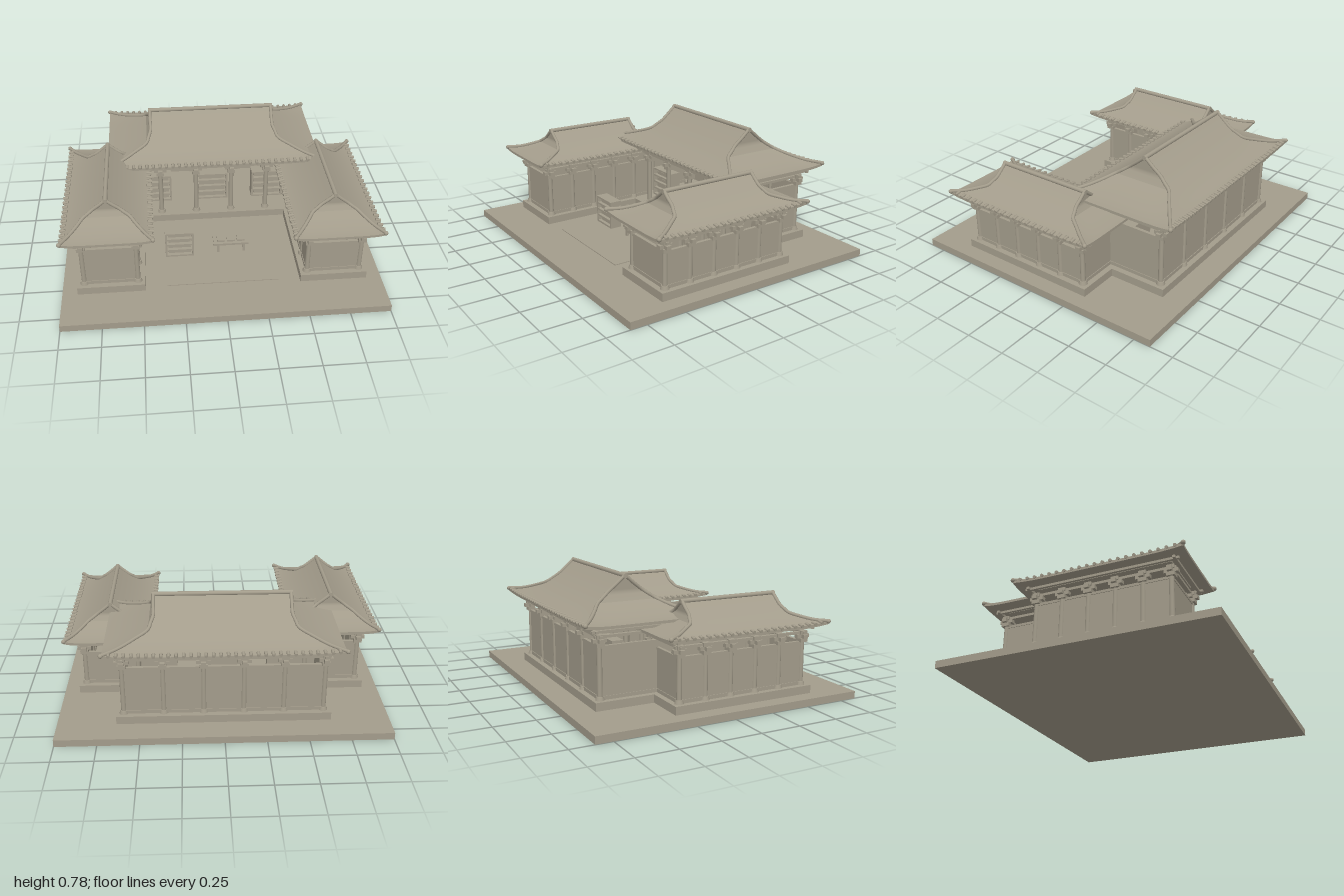
import * as THREE from 'three';
import { mergeGeometries, toCreasedNormals } from 'three/addons/utils/BufferGeometryUtils.js';

const stone = new THREE.MeshStandardMaterial({ color: 0xa39c8b });
stone.name = 'warm stone grey';

function add(parent, name, geometry, x = 0, y = 0, z = 0) {
  const mesh = new THREE.Mesh(geometry, stone);
  mesh.name = name;
  mesh.position.set(x, y, z);
  parent.add(mesh);
  return mesh;
}
// Box given by its centre in x and z, and its bottom and top heights
const block = (parent, name, w, d, x, z, y0, y1) =>
  add(parent, name, new THREE.BoxGeometry(w, y1 - y0, d), x, (y0 + y1) / 2, z);

function group(parent, name, x = 0, y = 0, z = 0) {
  const g = new THREE.Group();
  g.name = name;
  g.position.set(x, y, z);
  parent.add(g);
  return g;
}

// Hip-and-gable roof: ridge along x, made of rectangles that widen towards the eaves
function makeRoof(parent, { ridge, eaveX, eaveZ, yEave, yRidge, tiles }) {
  const roof = group(parent, 'roof');
  const flare = t => (t < 0.3 ? 0 : t < 0.5 ? 0.5 * (t - 0.3) : 0.1 + 1.8 * (t - 0.5));
  const ring = t => ({
    w: ridge + (eaveX - ridge) * flare(t), d: eaveZ * t,
    y: yEave + (yRidge - yEave) * (1 - t) ** 1.5, lift: 0.012 * t ** 4,
  });
  const rows = [];
  for (let i = 0; i <= 20; i++) rows.push(ring(i / 20));
  const eave = ring(1);
  rows.push({ ...eave, y: yEave - 0.016 });                                  // eave edge
  rows.push({ w: eaveX - 0.1, d: eaveZ - 0.1, y: yEave - 0.002, lift: 0 });  // soffit
  rows.push({ w: 0, d: 0, y: yEave - 0.002, lift: 0 });

  const faces = [];
  for (let k = 0; k < 4; k++) {
    const g = new THREE.PlaneGeometry(1, 1, 16, rows.length - 1);
    const pos = g.attributes.position;
    for (let i = 0; i < pos.count; i++) {
      const r = rows[Math.floor(i / 17)];
      const u = (i % 17) / 8 - 1;
      const s = k < 2 ? 1 : -1;
      const y = r.y + r.lift * u ** 6;
      if (k % 2 === 0) pos.setXYZ(i, s * u * r.w, y, s * r.d);
      else pos.setXYZ(i, s * r.w, y, -s * u * r.d);
    }
    faces.push(g);
  }
  add(roof, 'roofShell', toCreasedNormals(mergeGeometries(faces), 0.5));

  // Ridge bar and the bars running down gables and hips
  const ridgeBar = add(roof, 'ridgeBar', new THREE.CylinderGeometry(0.014, 0.014, ridge * 2 + 0.02, 10), 0, yRidge, 0);
  ridgeBar.rotation.z = Math.PI / 2;
  for (const sx of [-1, 1]) for (const sz of [-1, 1]) {
    const points = [0, 0.15, 0.3, 0.4, 0.5, 0.65, 0.82, 1].map(t => {
      const r = ring(t);
      return new THREE.Vector3(sx * r.w, r.y + r.lift + 0.004, sz * r.d);
    });
    add(roof, 'hipBar', new THREE.TubeGeometry(new THREE.CatmullRomCurve3(points), 28, 0.011, 8));
    add(roof, 'hipEnd', new THREE.SphereGeometry(0.014, 10, 8), sx * eaveX, yEave + 0.014, sz * eaveZ);
  }

  // Round tile ends along both long eaves
  const ends = [];
  for (const s of [-1, 1]) for (let i = 1; i < tiles; i++) {
    const u = (2 * i) / tiles - 1;
    const g = new THREE.CylinderGeometry(0.01, 0.01, 0.034, 8).rotateX(Math.PI / 2 + s * 0.15);
    ends.push(g.translate(u * eaveX, yEave + 0.004 + 0.012 * u ** 6, s * (eaveZ - 0.011)));
  }
  add(roof, 'eaveTiles', mergeGeometries(ends));
}

// Round post on a stone foot, carrying stacked bracket blocks
function makeColumn(parent, x, z, y0, y1) {
  const c = group(parent, 'column', x, 0, z);
  const h = y1 - y0;
  add(c, 'post', new THREE.CylinderGeometry(0.015, 0.016, h, 12), 0, y0 + h / 2, 0);
  add(c, 'foot', new THREE.CylinderGeometry(0.021, 0.027, 0.022, 12), 0, y0 + 0.011, 0);
  block(c, 'bracketBase', 0.05, 0.05, 0, 0, y1 - 0.004, y1 + 0.02);
  block(c, 'bracketArmAlong', 0.085, 0.03, 0, 0, y1 + 0.02, y1 + 0.042);
  block(c, 'bracketArmAcross', 0.03, 0.085, 0, 0, y1 + 0.02, y1 + 0.042);
  block(c, 'bracketTop', 0.045, 0.045, 0, 0, y1 + 0.042, y1 + 0.065);
}

// Rectangular ring of beams
function beamRing(parent, name, hx, hz, over, thick, y0, y1) {
  for (const s of [-1, 1]) {
    block(parent, name, 2 * (hx + over), thick, 0, s * hz, y0, y1);
    block(parent, name, thick, 2 * (hz + over), s * hx, 0, y0, y1);
  }
}

// Framed wall panel between two points, either along x or along z
function wallPanel(parent, x0, z0, x1, z1, y0, y1) {
  const alongX = Math.abs(x1 - x0) > Math.abs(z1 - z0);
  const len = Math.abs(alongX ? x1 - x0 : z1 - z0);
  const x = (x0 + x1) / 2, z = (z0 + z1) / 2;
  const slab = (name, l, t, a, b) => block(parent, name, alongX ? l : t, alongX ? t : l, x, z, a, b);
  slab('wallPanel', len, 0.012, y0, y1);
  slab('sillRail', len, 0.02, y0, y0 + 0.022);
  slab('headRail', len, 0.02, y1 - 0.016, y1);
}

// Complete building with its long side along x
function makeBuilding(parent, name, o) {
  const b = group(parent, name, o.x, 0, o.z);
  b.rotation.y = o.turn;
  const y0 = 0.095, { hx, hz, top, bays } = o;
  block(b, 'podium', 2 * (hx + 0.045), 2 * (hz + 0.045), 0, 0, 0.044, y0);
  const step = (2 * hx) / bays;
  for (let i = 0; i <= bays; i++) {
    const x = -hx + i * step;
    for (const s of [-1, 1]) {
      makeColumn(b, x, s * hz, y0, top);
      if (i < bays && !(o.open && s > 0)) wallPanel(b, x, s * hz, x + step, s * hz, y0, top);
    }
  }
  for (const s of [-1, 1]) wallPanel(b, s * hx, -hz, s * hx, hz, y0, top);
  beamRing(b, 'lowerBeam', hx, hz, 0.03, 0.022, top + 0.044, top + 0.06);
  beamRing(b, 'eavePurlin', hx + 0.035, hz + 0.035, 0.025, 0.016, top + 0.08, top + 0.095);
  block(b, 'ceiling', 2 * hx, 2 * hz, 0, 0, top + 0.095, top + 0.105);
  makeRoof(b, o);
}

// Open cabinet with shelves and goods boxes
function makeCabinet(parent, name, x, z, y, w, h, d) {
  const c = group(parent, name, x, y, z);
  block(c, 'backBoard', w, 0.012, 0, -d / 2 + 0.006, 0, h);
  for (const s of [-1, 1]) block(c, 'sideBoard', 0.012, d, s * (w / 2 - 0.006), 0, 0, h);
  for (let i = 0; i <= 4; i++) {
    const top = 0.012 + (i * (h - 0.012)) / 4;
    block(c, 'shelf', w, d, 0, 0, top - 0.012, top);
    if (i < 4) block(c, 'shelfGoods', w - 0.04, d - 0.03, 0, -0.008, top, top + 0.022);
  }
}

export function createModel() {
  const model = new THREE.Group();
  model.name = 'courtyardHouse';

  block(model, 'groundSlab', 2, 1.71, 0, 0, 0, 0.045);
  block(model, 'courtyardPaving', 0.7, 0.66, 0, 0.23, 0.04, 0.05);

  makeBuilding(model, 'mainHall', {
    x: 0, z: -0.405, turn: 0, hx: 0.6, hz: 0.25, top: 0.41, bays: 5, open: true,
    ridge: 0.41, eaveX: 0.7, eaveZ: 0.37, yEave: 0.538, yRidge: 0.762, tiles: 33,
  });
  // Side wings; the one at -x stands a little taller
  for (const s of [-1, 1]) {
    const rise = s < 0 ? 0.045 : 0;
    makeBuilding(model, s < 0 ? 'rightWing' : 'leftWing', {
      x: s * 0.695, z: 0.128, turn: -s * Math.PI / 2, hx: 0.417, hz: 0.165, top: 0.32 + rise, bays: 5,
      ridge: 0.312, eaveX: 0.525, eaveZ: 0.272, yEave: 0.434 + rise, yRidge: 0.594 + rise, tiles: 22,
    });
  }

  // Cabinets inside the hall and one in the courtyard
  for (const x of [-0.395, 0, 0.39]) makeCabinet(model, 'hallCabinet', x, -0.32, 0.095, 0.22, 0.205, 0.08);
  makeCabinet(model, 'courtyardCabinet', -0.258, 0.245, 0.05, 0.185, 0.185, 0.08);

  // Low table with three trays
  const table = group(model, 'table', 0.08, 0, 0.22);
  block(table, 'tableTop', 0.23, 0.1, 0, 0, 0.108, 0.122);
  for (const sx of [-1, 1]) for (const sz of [-1, 1])
    block(table, 'tableLeg', 0.016, 0.016, sx * 0.085, sz * 0.036, 0.05, 0.108);
  for (const i of [-1, 0, 1]) block(table, 'tray', 0.05, 0.06, i * 0.065, 0, 0.122, 0.134);

  return model;
}
